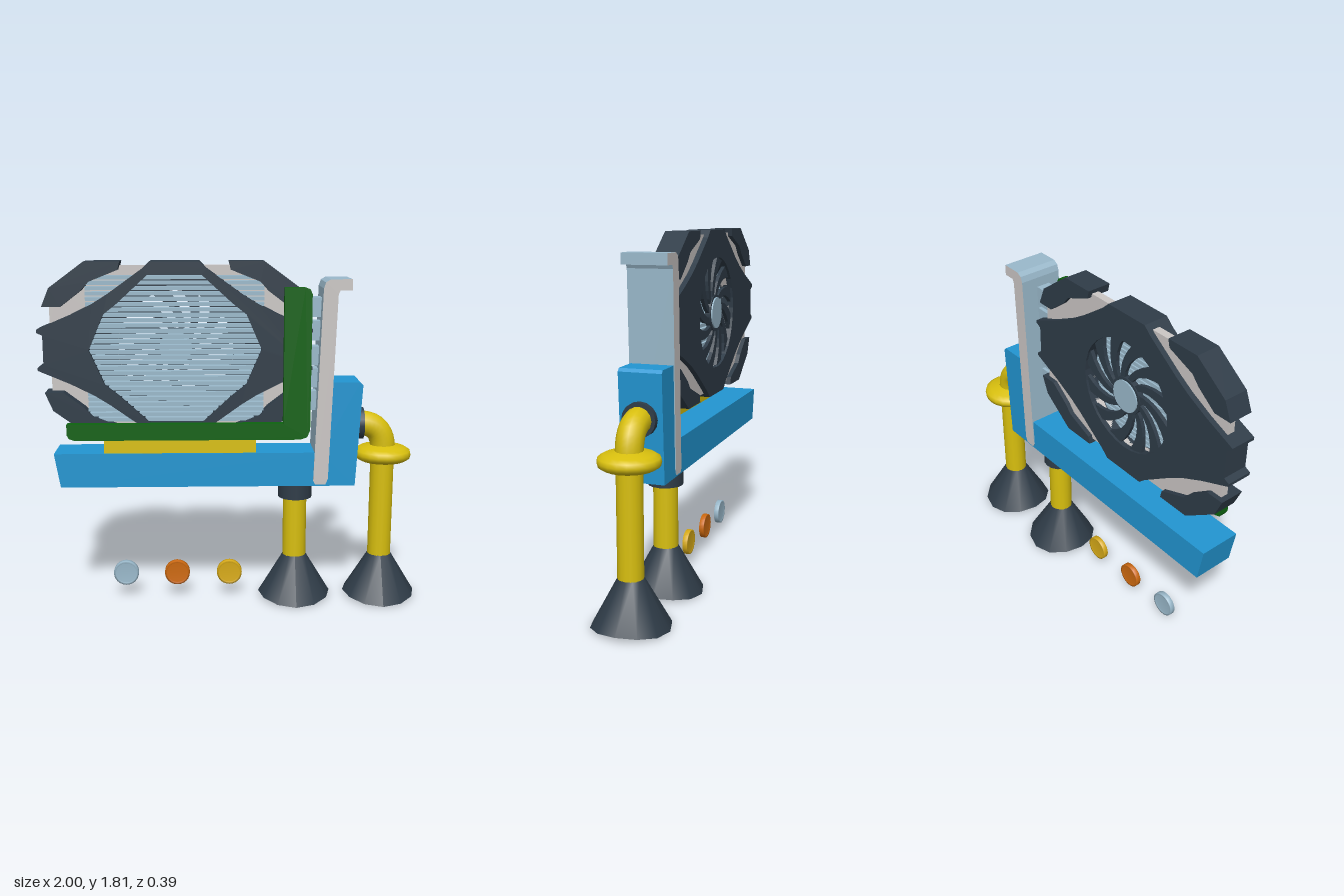
import * as THREE from 'three';

const mat = (name, color, double) => {
  const m = new THREE.MeshStandardMaterial({ color });
  m.name = name;
  if (double) m.side = THREE.DoubleSide;
  return m;
};

export function createModel() {
  const root = new THREE.Group();
  root.name = 'graphicsCardMachine';
  const dark = mat('charcoal', 0x2f3c48, true);
  const grey = mat('warmGrey', 0xcbc7c5);
  const pale = mat('paleBlue', 0x9ab9cb);
  const blue = mat('blue', 0x2296d2);
  const green = mat('boardGreen', 0x0d620f);
  const yellow = mat('yellow', 0xd8bf0e);
  const orange = mat('copperOrange', 0xce6a10);
  const gold = mat('gold', 0xd8ab18);

  const add = (name, geo, material, x = 0, y = 0, z = 0, parent = root) => {
    const m = new THREE.Mesh(geo, material);
    m.name = name;
    m.position.set(x, y, z);
    parent.add(m);
    return m;
  };
  const box = (name, material, x0, x1, y0, y1, z0, z1, parent = root) =>
    add(name, new THREE.BoxGeometry(x1 - x0, y1 - y0, z1 - z0), material,
      (x0 + x1) / 2, (y0 + y1) / 2, (z0 + z1) / 2, parent);
  const shapeOf = (pts) => new THREE.Shape(pts.map(([x, y]) => new THREE.Vector2(x, y)));
  const slab = (name, shape, z0, z1, material, parent = root) =>
    add(name, new THREE.ExtrudeGeometry(shape, { depth: z1 - z0, bevelEnabled: false, curveSegments: 16 }),
      material, 0, 0, z0, parent);
  // Mirrors a quarter outline (from the u axis to the v axis) into a full one
  const quad = (q) => {
    const r = [...q].reverse();
    return [...q, ...r.map(([u, v]) => [-u, v]), ...q.map(([u, v]) => [-u, -v]), ...r.map(([u, v]) => [u, -v])];
  };

  // Blue body: long beam with a raised block
  slab('body', shapeOf([[-0.9, 0.65], [0.64, 0.65], [0.67, 1.185], [0.655, 1.2],
    [0.46, 1.2], [0.46, 0.83], [-0.93, 0.83]]), -0.11, 0.108, blue);

  // Mounting bracket: grey edges, pale faces
  slab('bracket', shapeOf([[0.43, 0.66], [0.485, 0.66], [0.497, 0.69], [0.53, 1.65], [0.54, 1.67], [0.6, 1.67],
    [0.6, 1.725], [0.49, 1.725], [0.465, 1.71], [0.455, 1.68], [0.42, 0.68]]), -0.115, 0.115, [grey, pale]);

  // Card cooler, built around its own centre
  const cooler = new THREE.Group();
  cooler.name = 'cooler';
  cooler.position.set(-0.295, 1.365, 0);
  root.add(cooler);

  const outer = quad([[0.675, 0.075], [0.705, 0.09], [0.705, 0.105], [0.54, 0.175],
    [0.42, 0.235], [0.34, 0.285], [0.165, 0.41], [0.125, 0.447]]);
  const inner = quad([[0.442, 0.003], [0.365, 0.18], [0.29, 0.24], [0.135, 0.382]]);
  const fanHole = () => new THREE.Path().absarc(0, 0, 0.3, 0, Math.PI * 2, true);

  const front = shapeOf(outer);
  front.holes.push(new THREE.Path(inner.map(([x, y]) => new THREE.Vector2(x, y))));
  slab('frontFrame', front, 0.005, 0.065, dark, cooler);

  const back = shapeOf(outer);
  back.holes.push(fanHole());
  slab('backFrame', back, -0.068, 0.005, dark, cooler);

  // Corner wings
  const wing = [[0.675, 0.22], [0.635, 0.315], [0.455, 0.447], [0.275, 0.447],
    [0.285, 0.405], [0.435, 0.345], [0.475, 0.3], [0.58, 0.22]];
  for (const sx of [-1, 1]) for (const sy of [-1, 1])
    slab('cornerWing', shapeOf(wing.map(([u, v]) => [u * sx, v * sy])), -0.064, 0.063, dark, cooler);

  // Grey plate between frame and wings
  const plate = shapeOf(quad([[0.645, 0.12], [0.645, 0.23], [0.6, 0.3], [0.43, 0.425], [0.1, 0.425]]));
  plate.holes.push(fanHole());
  slab('heatPlate', plate, -0.04, 0, grey, cooler);

  // Cooling fins
  const fins = 28, pitch = 0.76 / fins;
  for (let i = 0; i < fins; i++) {
    const y = -0.38 + (i + 0.5) * pitch;
    box('coolingFin', pale, -0.455, 0.455, y - 0.0095, y + 0.0095, 0.004, 0.045, cooler);
  }

  // Fan with swept blades
  const blades = 12;
  for (let i = 0; i < blades; i++) {
    const a0 = (i / blades) * Math.PI * 2, lead = [], trail = [];
    for (let k = 0; k <= 5; k++) {
      const t = k / 5, r = 0.085 + 0.22 * t;
      const a = a0 + 0.65 * t * (1.3 - 0.3 * t), w = 0.3 - 0.05 * Math.sin(Math.PI * t);
      lead.push([r * Math.cos(a), r * Math.sin(a)]);
      trail.unshift([r * Math.cos(a + w), r * Math.sin(a + w)]);
    }
    slab('fanBlade', shapeOf([...trail, ...lead].reverse()), -0.055, -0.035, dark, cooler);
  }
  const disc = (name, r, depth, material, z) =>
    add(name, new THREE.CylinderGeometry(r, r, depth, 24).rotateX(Math.PI / 2), material, 0, 0, z, cooler);
  disc('fanHubRing', 0.1, 0.03, dark, -0.045);
  disc('fanHub', 0.085, 0.045, pale, -0.045);

  // Circuit board and its edge connector
  slab('circuitBoard', shapeOf([[-0.86, 0.985], [-0.86, 0.93], [-0.85, 0.91], [-0.82, 0.9], [0.35, 0.9],
    [0.385, 0.913], [0.4, 0.95], [0.4, 1.65], [0.39, 1.673], [0.365, 1.683], [0.26, 1.683], [0.26, 0.985]]),
    0.064, 0.108, green);
  box('edgeConnector', yellow, -0.67, 0.12, 0.82, 0.91, 0.068, 0.1);

  // Ports between card and bracket
  for (const y of [1.095, 1.215, 1.33, 1.46, 1.58])
    box('port', pale, 0.3, 0.46, y - 0.05, y + 0.05, -0.025, 0.05);

  // Suction legs with saddle-cut bells
  const leg = (x, top) => {
    add('legPipe', new THREE.CylinderGeometry(0.063, 0.063, top - 0.23, 16), yellow, x, (top + 0.23) / 2, 0);
    const bell = new THREE.CylinderGeometry(0.064, 0.195, 0.22, 12, 1, true);
    const p = bell.attributes.position;
    for (let i = 0; i < p.count; i++) {
      if (p.getY(i) > 0) continue;
      const c = p.getX(i) / 0.195;
      p.setY(i, -0.13 + 0.025 * c * c);
    }
    bell.computeVertexNormals();
    add('suctionBell', bell, dark, x, 0.13, 0);
  };
  leg(0.335, 0.58);
  leg(0.8, 0.85);
  add('legCollar', new THREE.CylinderGeometry(0.09, 0.09, 0.09, 16), dark, 0.335, 0.61, 0);

  // Elbow pipe with collar and flange
  add('elbowCollar', new THREE.CylinderGeometry(0.085, 0.085, 0.05, 16).rotateZ(Math.PI / 2), dark, 0.665, 0.965, 0);
  const v = (x, y) => new THREE.Vector3(x, y, 0);
  add('elbowPipe', new THREE.TubeGeometry(new THREE.CubicBezierCurve3(
    v(0.67, 0.965), v(0.755, 0.965), v(0.8, 0.92), v(0.8, 0.82)), 10, 0.066, 14), yellow);
  const profile = [[0.06, 0.75], [0.12, 0.765], [0.145, 0.78], [0.15, 0.8], [0.145, 0.82], [0.12, 0.835], [0.06, 0.85]];
  add('flange', new THREE.LatheGeometry(profile.map(([r, y]) => new THREE.Vector2(r, y)), 20), yellow, 0.8, 0, 0);

  // Coins with a raised rim
  const rim = [[0, -0.009], [0.055, -0.009], [0.057, -0.013], [0.068, -0.013],
    [0.068, 0.013], [0.057, 0.013], [0.055, 0.009], [0, 0.009]].map(([r, y]) => new THREE.Vector2(r, y));
  [[-0.58, pale, 'silverCoin'], [-0.302, orange, 'copperCoin'], [-0.018, gold, 'goldCoin']].forEach(([x, m, name]) =>
    add(name, new THREE.LatheGeometry(rim, 24).rotateX(Math.PI / 2), m, x, 0.135, 0));

  return root;
}
